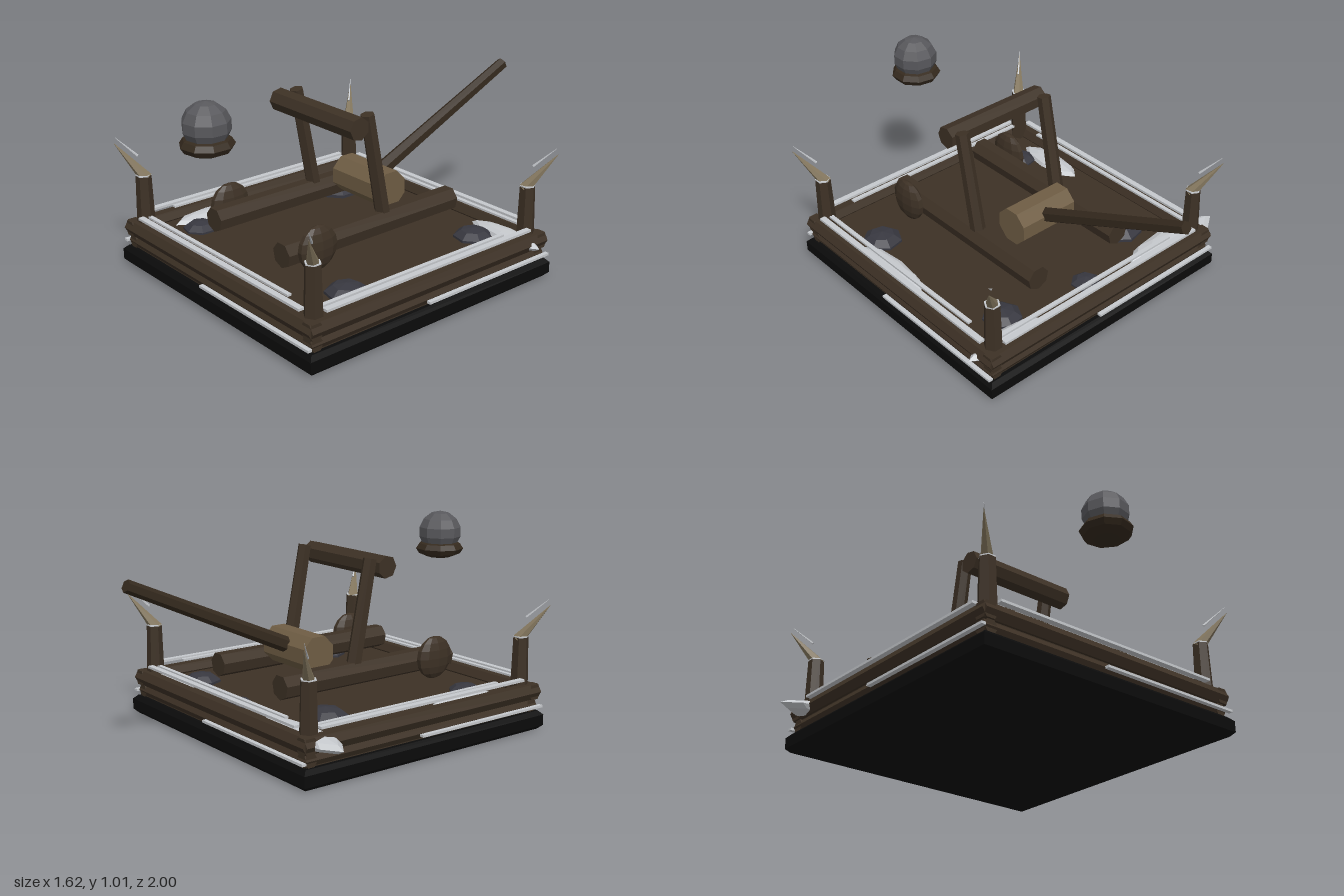
import * as THREE from 'three';

const mat = (name, color) => {
  const m = new THREE.MeshStandardMaterial({ color, flatShading: true });
  m.name = name;
  return m;
};

export function createModel() {
  const wood = mat('dark wood', 0x3d3125);
  const arm = mat('arm wood', 0x352a1e);
  const pale = mat('pale wood', 0x6f5d44);
  const black = mat('black base', 0x0b0b0b);
  const rock = mat('dark rock', 0x383840);
  const stone = mat('grey stone', 0x58585c);
  const snow = mat('snow', 0xc6c9cd);
  const bone = mat('spike bone', 0x85785f);

  const model = new THREE.Group();
  model.name = 'catapultPlatform';

  const add = (parent, name, geo, material, x = 0, y = 0, z = 0) => {
    const mesh = new THREE.Mesh(geo, material);
    mesh.name = name;
    mesh.position.set(x, y, z);
    parent.add(mesh);
    return mesh;
  };
  // Tapered log running from point a to point b
  const log = (parent, name, a, b, r1, r2, sides, material) => {
    const from = new THREE.Vector3(...a), to = new THREE.Vector3(...b);
    const dir = to.clone().sub(from);
    const mesh = add(parent, name, new THREE.CylinderGeometry(r2, r1, dir.length(), sides), material);
    mesh.position.copy(from).add(to).multiplyScalar(0.5);
    mesh.quaternion.setFromUnitVectors(new THREE.Vector3(0, 1, 0), dir.normalize());
    return mesh;
  };
  // Faceted ellipsoid
  const blob = (parent, name, p, s, material, w = 8, h = 6) => {
    const geo = new THREE.SphereGeometry(1, w, h);
    geo.scale(...s);
    return add(parent, name, geo, material, ...p);
  };

  // Platform: chamfered base and plank deck
  const platform = new THREE.Group();
  platform.name = 'platform';
  platform.position.set(0.05, 0, 0.17);
  model.add(platform);

  const h = 0.718;
  const square = new THREE.Shape([[-h, -h], [h, -h], [h, h], [-h, h]].map(p => new THREE.Vector2(...p)));
  const baseGeo = new THREE.ExtrudeGeometry(square, {
    depth: 0.054, bevelSize: 0.02, bevelThickness: 0.02, bevelSegments: 1
  });
  baseGeo.rotateX(-Math.PI / 2);
  add(platform, 'base', baseGeo, black, 0, 0.02, 0);
  add(platform, 'deck', new THREE.BoxGeometry(1.4, 0.095, 1.4), wood, 0, 0.1375, 0);

  // Four identical sides, each with a rail, snow strips, corner post and spike
  for (let i = 0; i < 4; i++) {
    const side = new THREE.Group();
    side.name = 'side' + (i + 1);
    side.rotation.y = i * Math.PI / 2;
    platform.add(side);

    log(side, 'rail', [-0.72, 0.192, 0.69], [0.72, 0.192, 0.69], 0.043, 0.043, 6, wood);
    log(side, 'lowerRail', [-0.71, 0.125, 0.68], [0.71, 0.125, 0.68], 0.035, 0.035, 6, wood);
    add(side, 'outerSnowStrip', new THREE.BoxGeometry(1.25, 0.012, 0.03), snow, 0, 0.26, 0.693);
    add(side, 'innerSnowStrip', new THREE.BoxGeometry(1.1, 0.01, 0.022), snow, -0.06, 0.259, 0.65);
    add(side, 'lowerSnowStrip', new THREE.BoxGeometry(0.79, 0.012, 0.022), snow, 0.33, 0.12, 0.73);

    log(side, 'cornerPost', [0.65, 0.09, 0.65], [0.65, 0.465, 0.65], 0.048, 0.038, 6, wood);
    add(side, 'postCap', new THREE.CylinderGeometry(0.038, 0.038, 0.006, 6), snow, 0.65, 0.468, 0.65);
    log(side, 'spike', [0.64, 0.45, 0.64], [0.745, 0.625, 0.745], 0.032, 0.001, 6, bone);
    log(side, 'spikeIcicle', [0.665, 0.565, 0.665], [0.74, 0.655, 0.74], 0.006, 0.001, 4, snow);
  }

  // Rocks half sunk in the deck: x, z, radius
  [[-0.37, -0.21, 0.12], [0.51, -0.32, 0.1], [0.05, -0.4, 0.077], [0.57, 0.53, 0.105], [-0.43, 0.62, 0.088]]
    .forEach(([x, z, r]) => blob(model, 'rock', [x, 0.18, z], [r, r * 0.54, r], rock, 7, 5));

  // Flat snow drifts: x, z, half length, half width, lying along x or z
  blob(model, 'snowDrift', [-0.505, 0.19, -0.445], [0.295, 0.04, 0.085], snow);
  blob(model, 'snowDrift', [0.6, 0.185, -0.45], [0.22, 0.035, 0.06], snow);
  blob(model, 'snowDrift', [-0.54, 0.185, 0.49], [0.065, 0.035, 0.2], snow);
  blob(model, 'snowDrift', [0.67, 0.185, 0.31], [0.06, 0.035, 0.23], snow);

  // Catapult frame, mirrored about x = 0.05
  const frame = new THREE.Group();
  frame.name = 'catapult';
  frame.position.x = 0.05;
  model.add(frame);
  for (const s of [-1, 1]) {
    log(frame, 'skid', [s * 0.26, 0.32, -0.35], [s * 0.26, 0.32, 0.685], 0.061, 0.061, 7, wood);
    log(frame, 'upright', [s * 0.258, 0.34, 0.083], [s * 0.258, 0.865, 0.183], 0.038, 0.034, 6, wood);
    blob(frame, 'wheel', [s * 0.335, 0.342, 0.54], [0.041, 0.108, 0.108], wood, 10, 8);
  }
  log(frame, 'crossbar', [-0.296, 0.82, 0.26], [0.296, 0.82, 0.26], 0.056, 0.056, 7, wood);
  log(frame, 'counterweight', [-0.165, 0.41, -0.053], [0.165, 0.41, -0.053], 0.095, 0.095, 8, pale)
    .rotateY(Math.PI / 8);
  log(frame, 'throwingArm', [0, 0.42, -0.08], [0, 0.83, -0.985], 0.039, 0.031, 6, arm);

  // Bowl and its stone
  blob(frame, 'bowl', [0, 0.815, 0.875], [0.125, 0.052, 0.125], arm, 9, 6);
  blob(frame, 'stoneBall', [0, 0.902, 0.875], [0.112, 0.108, 0.112], stone, 9, 7);

  return model;
}
